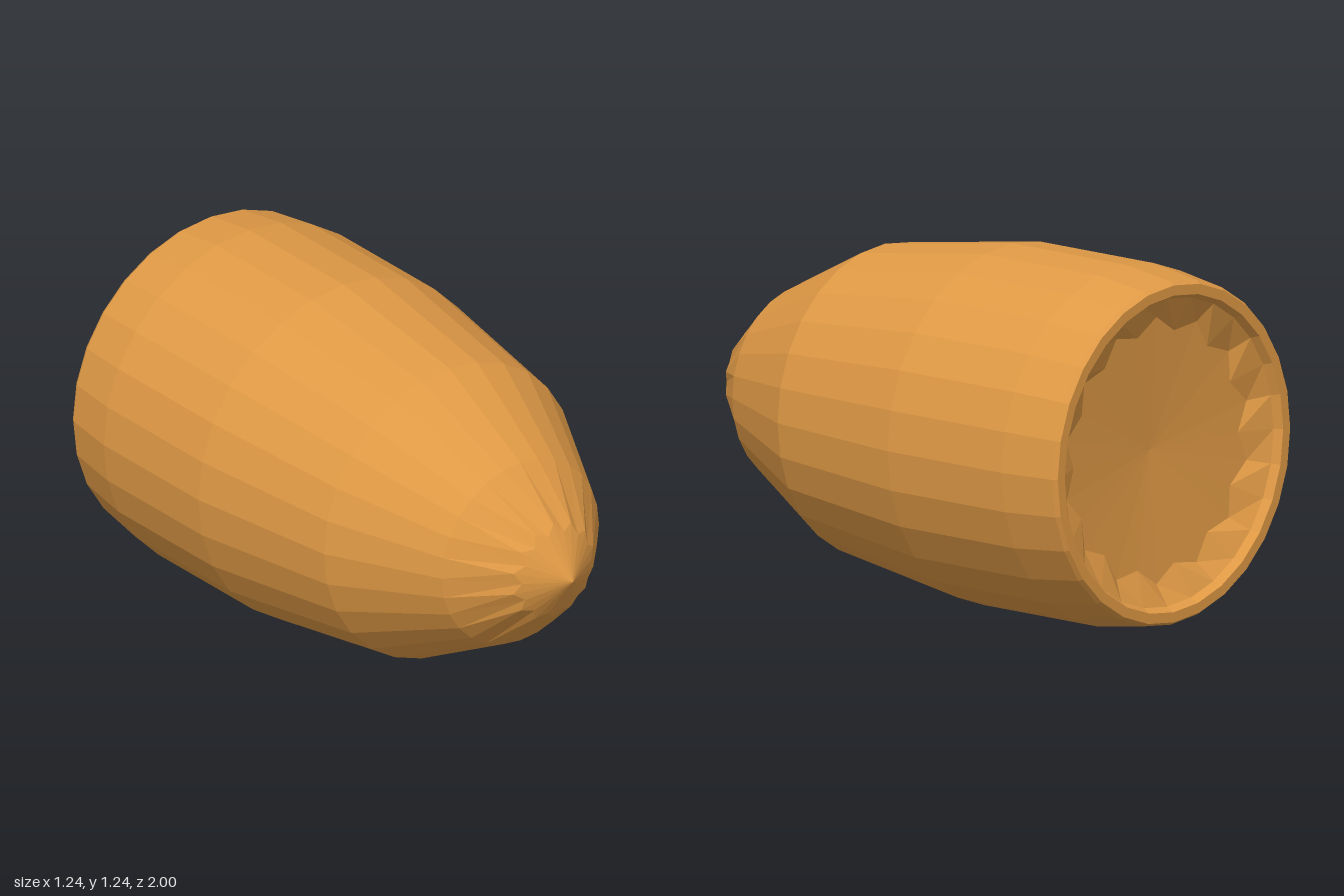
import * as THREE from 'three';

const SIDES = 28;

// Faceted surface of revolution along z; profile entries are
// [radius, z] or [radius, z, oddRadius, oddZ] for zigzag rings.
function facetedLathe(profile) {
  const points = profile.map(([r, z]) => new THREE.Vector2(r, z));
  const geometry = new THREE.LatheGeometry(points, SIDES);
  const pos = geometry.attributes.position;
  for (let i = 1; i < SIDES; i += 2) {
    const a = (i / SIDES) * Math.PI * 2;
    profile.forEach(([, , r, z], j) => {
      if (r === undefined) return;
      pos.setXYZ(i * profile.length + j, r * Math.sin(a), z, r * Math.cos(a));
    });
  }
  geometry.rotateX(Math.PI / 2);
  geometry.computeVertexNormals();
  return geometry;
}

export function createModel() {
  const group = new THREE.Group();
  group.name = 'bullet';
  const material = new THREE.MeshStandardMaterial({ color: 0xdf9945, flatShading: true });

  const addPart = (name, profile) => {
    const mesh = new THREE.Mesh(facetedLathe(profile), material);
    mesh.name = name;
    mesh.position.y = 0.62;
    group.add(mesh);
  };

  // Shallow recess in the back, with a zigzag edge round its floor
  addPart('baseRecess', [
    [0, -0.89],
    [0.46, -0.92, 0.41, -0.917],
    [0.53, -0.97],
    [0.545, -1],
  ]);

  // Rim and slightly tapered casing
  addPart('casing', [
    [0.545, -1],
    [0.58, -1],
    [0.59, -0.985],
    [0.62, -0.78],
    [0.62, -0.26],
  ]);

  // Rounded nose ending in a small faceted point
  addPart('nose', [
    [0.62, -0.26],
    [0.535, 0.32],
    [0.335, 0.71],
    [0.175, 0.89, 0.147, 0.908],
    [0, 1],
  ]);

  return group;
}
